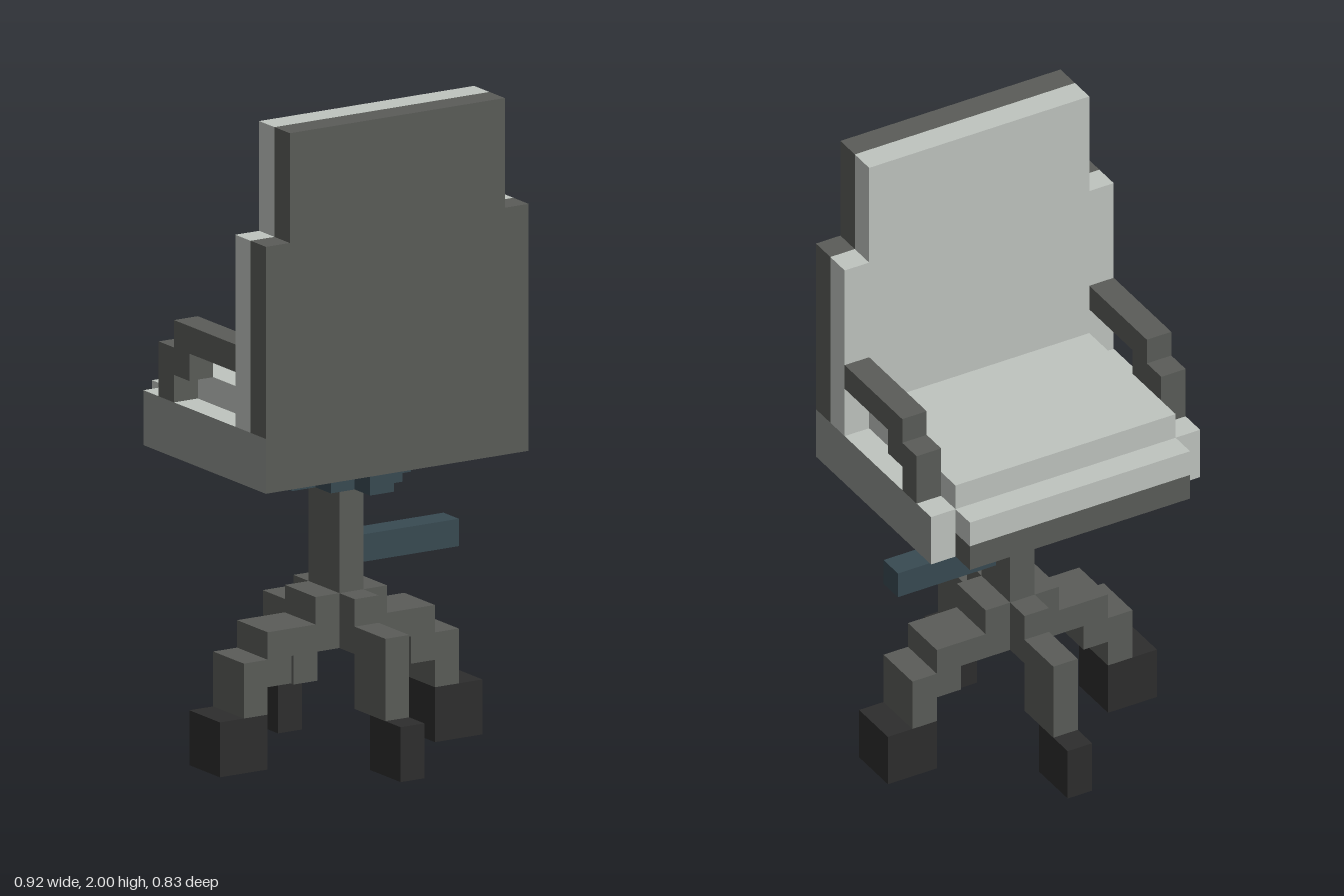
import * as THREE from 'three';

const U = 1 / 12; // one block

const mat = (name, color) => {
  const m = new THREE.MeshStandardMaterial({ color });
  m.name = name;
  return m;
};

export function createModel() {
  const light = mat('light grey cushion', 0xbfc4bf);
  const mid = mat('mid grey seat side', 0x8c908c);
  const dark = mat('dark grey frame', 0x5a5c58);
  const black = mat('black wheel', 0x2d2d2d);
  const blue = mat('slate blue mechanism', 0x384a52);

  const chair = new THREE.Group();
  chair.name = 'officeChair';

  const part = (name, geometry, material, parent = chair) => {
    const mesh = new THREE.Mesh(geometry, material);
    mesh.name = name;
    parent.add(mesh);
    return mesh;
  };
  // Box from its limits, in blocks
  const box = (name, material, x0, x1, y0, y1, z0, z1, parent) => {
    const g = new THREE.BoxGeometry((x1 - x0) * U, (y1 - y0) * U, (z1 - z0) * U);
    g.translate((x0 + x1) * U / 2, (y0 + y1) * U / 2, (z0 + z1) * U / 2);
    return part(name, g, material, parent);
  };
  // Outline in blocks, extruded along z
  const slab = (name, material, points, z0, z1, parent) => {
    const shape = new THREE.Shape(points.map(([x, y]) => new THREE.Vector2(x * U, y * U)));
    const g = new THREE.ExtrudeGeometry(shape, { depth: (z1 - z0) * U, bevelEnabled: false });
    g.translate(0, 0, z0 * U);
    return part(name, g, material, parent);
  };
  const mirrored = (half) => [...half, ...half.map(([x, y]) => [-x, y]).reverse()];

  // Backrest: dark shell behind, light padding on the sitting side
  slab('backrestShell', dark,
    mirrored([[4.5, 12], [4.5, 13], [5.5, 13], [5.5, 20], [4.5, 20], [4.5, 24]]), 3, 4);
  slab('backrestPadding', light,
    mirrored([[5.5, 13], [5.5, 20], [4.5, 20], [4.5, 24]]), 2, 3);

  // Seat
  box('seatBase', dark, -4.5, 4.5, 11, 12, -5, 4);
  box('seatPad', light, -4.5, 4.5, 12, 13, -5, 3);
  box('seatCushion', light, -4.5, 4.5, 13, 14, -4, 2);
  for (const [side, x0] of [['left', 4.5], ['right', -5.5]]) {
    box(side + 'SeatSide', [mid, mid, light, dark, dark, light], x0, x0 + 1, 11, 13, -4, 4);
    // Armrest in three stepped pieces
    const arm = new THREE.Group();
    arm.name = side + 'Armrest';
    chair.add(arm);
    box('armPost', dark, x0, x0 + 1, 13, 14, -3, -2, arm);
    box('armStep', dark, x0, x0 + 1, 14, 15, -3, -1, arm);
    box('armTop', dark, x0, x0 + 1, 15, 16, -2, 2, arm);
  }

  // Stepped round plate under the seat
  for (let i = -2; i <= 2; i++) {
    const r = 3 - Math.abs(i);
    box('swivelPlate', blue, i - 0.5, i + 0.5, 10, 11, -r, r);
  }
  box('heightLever', blue, 0.5, 4.5, 7, 8, 0, 1);
  box('column', dark, -0.5, 0.5, 4, 10, -1, 1);

  // Four stepped legs with wheels
  for (const s of [-1, 1]) {
    const span = (a, b) => (s > 0 ? [a, b] : [-b, -a]);
    const sideLeg = new THREE.Group();
    sideLeg.name = s > 0 ? 'leftLeg' : 'rightLeg';
    const endLeg = new THREE.Group();
    endLeg.name = s > 0 ? 'frontLeg' : 'backLeg';
    chair.add(sideLeg, endLeg);

    box('legRoot', dark, ...span(0.5, 1.5), 5, 6, -1, 1, sideLeg);
    box('legArm', dark, ...span(0.5, 3.5), 4, 5, -1, 1, sideLeg);
    box('legBend', dark, ...span(2.5, 4.5), 3, 4, -1, 1, sideLeg);
    box('legFoot', dark, ...span(3.5, 4.5), 2, 3, -1, 1, sideLeg);
    box('wheel', black, ...span(3.5, 5.5), 0, 2, -1, 1, sideLeg);

    box('legRoot', dark, -0.5, 0.5, 5, 6, ...span(1, 2), endLeg);
    box('legArm', dark, -0.5, 0.5, 4, 5, ...span(1, 4), endLeg);
    box('legFoot', dark, -0.5, 0.5, 2, 4, ...span(2, 4), endLeg);
    box('wheel', black, -0.5, 0.5, 0, 2, ...span(3, 5), endLeg);
  }

  return chair;
}
